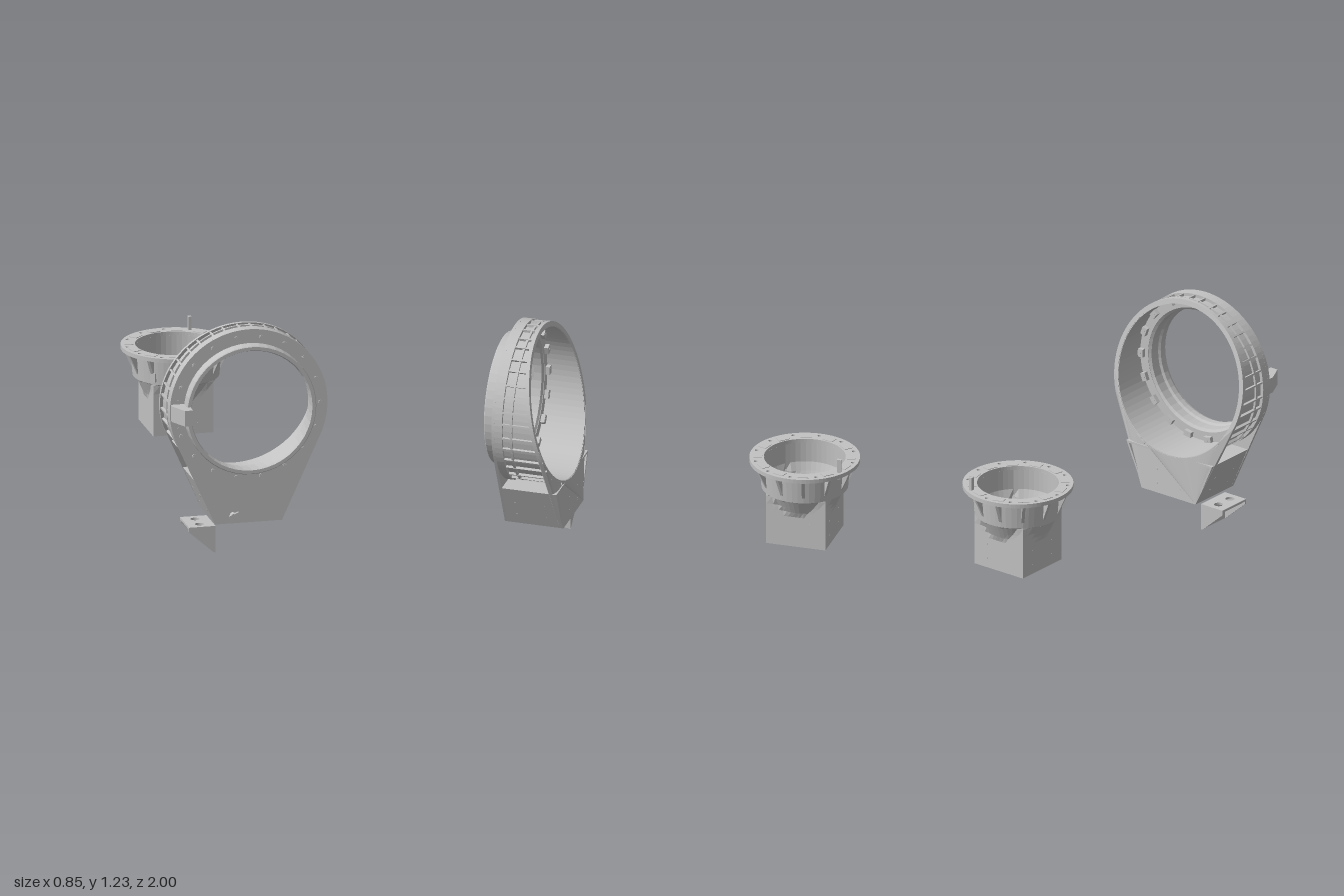
import * as THREE from 'three';

const grey = new THREE.MeshStandardMaterial({ color: 0xc2c2c2, flatShading: true, side: THREE.DoubleSide });
grey.name = 'grey plastic';

const CY = 0.8; // ring centre height
const RAD = Math.PI / 180;
const backZ = (y) => 0.555 + Math.max(0, y - 0.4) * 0.213; // slanted rear of the ring

export function createModel() {
  const model = new THREE.Group();

  const add = (parent, name, geo, x = 0, y = 0, z = 0) => {
    const m = new THREE.Mesh(geo, grey);
    m.name = name;
    m.position.set(x, y, z);
    parent.add(m);
    return m;
  };
  const group = (name) => {
    const g = new THREE.Group();
    g.name = name;
    model.add(g);
    return g;
  };
  const extrude = (shape, depth) =>
    new THREE.ExtrudeGeometry(shape, { depth, bevelEnabled: false, curveSegments: 40 });
  const poly = (pts) => new THREE.Shape(pts.map((p) => new THREE.Vector2(p[0], p[1])));
  const circle = (x, y, r) => new THREE.Path().absarc(x, y, r, 0, Math.PI * 2, true);
  const annulus = (ro, ri, y = CY) => {
    const s = new THREE.Shape().absarc(0, y, ro, 0, Math.PI * 2, false);
    s.holes.push(circle(0, y, ri));
    return s;
  };
  // Rewrites the z of every vertex by a rule of height and old z
  const moveZ = (geo, rule) => {
    const p = geo.attributes.position;
    for (let i = 0; i < p.count; i++) p.setZ(i, rule(p.getY(i), p.getZ(i)));
    geo.computeVertexNormals();
    return geo;
  };
  // Small screw flush with a wall, facing along a direction
  const screw = (parent, pos, dir, r = 0.006) => {
    const d = new THREE.Vector3(...dir).normalize();
    const m = add(parent, 'smallScrew', new THREE.CylinderGeometry(r, r, 0.002, 10), ...pos);
    m.quaternion.setFromUnitVectors(new THREE.Vector3(0, 1, 0), d);
  };

  // ---- Ring housing ----
  const ring = group('ringHousing');
  const tear = (holeR) => {
    const a = -24.55 * RAD;
    const s = new THREE.Shape();
    s.absarc(0, CY, 0.425, a, Math.PI - a, false);
    s.lineTo(-0.18, 0.17);
    s.lineTo(0.18, 0.17);
    s.closePath();
    s.holes.push(circle(0, CY, holeR));
    return s;
  };
  add(ring, 'frontPlate', extrude(tear(0.345), 0.015), 0, 0, 0.86);
  add(ring, 'frontFlange', extrude(annulus(0.425, 0.345), 0.045), 0, 0, 0.818);
  add(ring, 'rearPlate', moveZ(extrude(tear(0.4), 0.02), (y, z) => backZ(y) + z));
  add(ring, 'ringWall', moveZ(extrude(annulus(0.408, 0.397), 1),
    (y, z) => THREE.MathUtils.lerp(backZ(y) + 0.002, 0.84, z)));
  add(ring, 'middleFin', extrude(annulus(0.42, 0.4), 0.012), 0, 0, 0.765);

  // Stepped front collar
  const collarProfile = [[0.35, 0.86], [0.35, 0.935], [0.346, 0.94], [0.328, 0.94], [0.322, 0.925],
    [0.322, 0.895], [0.332, 0.885], [0.332, 0.83], [0.346, 0.82]].map((p) => new THREE.Vector2(...p));
  add(ring, 'frontCollar', new THREE.LatheGeometry(collarProfile, 48), 0, CY, 0).rotation.x = Math.PI / 2;

  // Bolts, inner tabs and outer ribs around the ring
  for (let i = 0; i < 18; i++) {
    const a = i * 20 * RAD;
    const x = Math.cos(a), y = Math.sin(a);
    const bx = 0.385 * x, by = CY + 0.385 * y;
    add(ring, 'hexNut', new THREE.CylinderGeometry(0.012, 0.012, 0.008, 6), bx, by, 0.877).rotation.x = Math.PI / 2;
    screw(ring, [bx, by, 0.881], [0, 0, 1]);
    add(ring, 'innerTab', new THREE.BoxGeometry(0.035, 0.045, 0.025), 0.383 * x, CY + 0.383 * y, 0.808).rotation.z = a;
    screw(ring, [bx - 0.003 * x, by - 0.003 * y, 0.795], [0, 0, -1], 0.007);
    for (const off of [-5.5, 5.5]) {
      const b = a + off * RAD;
      if (Math.sin(b) < -0.92) continue;
      const z0 = backZ(CY + 0.414 * Math.sin(b)) + 0.005;
      add(ring, 'outerRib', new THREE.BoxGeometry(0.02, 0.01, 0.83 - z0),
        0.412 * Math.cos(b), CY + 0.412 * Math.sin(b), (0.83 + z0) / 2).rotation.z = b;
    }
  }

  // Hollow socket under the ring: sloping sides with a shelf reaching in to the ring wall
  for (const s of [1, -1]) {
    const wall = poly([[0.18, 0.17], [0.287, 0.41], [0.1, 0.41], [0.1, 0.398], [0.27, 0.398], [0.168, 0.17]]
      .map(([x, y]) => [s * x, y]));
    add(ring, 'socketSide', extrude(wall, 0.3), 0, 0, 0.562);
    for (const y of [0.23, 0.31]) for (const z of [0.645, 0.8]) {
      screw(ring, [s * (0.18 + (y - 0.17) * 0.446), y, z], [s * 0.913, -0.407, 0]);
    }
  }
  for (const [x, y] of [[-0.078, 0.305], [0.075, 0.305], [0.075, 0.225], [-0.078, 0.225]]) {
    screw(ring, [x, y, 0.875], [0, 0, 1]);
    screw(ring, [x, y, 0.555], [0, 0, -1]);
  }

  // Wing screw on the socket front
  add(ring, 'wingScrew', new THREE.CylinderGeometry(0.014, 0.018, 0.025, 8), -0.085, 0.215, 0.887)
    .rotation.x = Math.PI / 2;
  add(ring, 'screwWing', new THREE.BoxGeometry(0.055, 0.014, 0.012), -0.083, 0.22, 0.895).rotation.z = 0.4;

  // Wedge shaped clip on the collar
  const clip = extrude(poly([[-0.42, -0.87], [-0.42, -0.905], [-0.375, -1], [-0.33, -1], [-0.33, -0.87]]), 0.085);
  clip.rotateX(-Math.PI / 2);
  add(ring, 'sideClip', clip, 0, 0.757, 0);
  for (const y of [0.71, 0.74, 0.86, 0.9]) screw(ring, [-0.378, y, 0.875], [0, 0, 1], 0.005);

  // ---- Round to square funnel ----
  const funnel = group('funnel');
  funnel.position.z = -0.71;
  const N = 48;
  // Rows of [height, round radius, half side]; each section is the wider of circle and square
  const rows = [[0.23, 0, 0.162], [0.4, 0.159, 0.162], [0.43, 0.174, 0.162], [0.46, 0.188, 0.162],
    [0.505, 0.209, 0.162], [0.515, 0.228, 0.162], [0.66, 0.24, 0.16], [0.66, 0.214, 0.153],
    [0.55, 0.214, 0.153], [0.505, 0.197, 0.153], [0.45, 0.172, 0.153], [0.4, 0.148, 0.153],
    [0.23, 0, 0.153], [0.23, 0, 0.162]];
  const pos = [], idx = [];
  rows.forEach(([y, r, h], j) => {
    for (let i = 0; i <= N; i++) {
      const a = (i / N) * Math.PI * 2;
      const c = Math.cos(a), s = Math.sin(a);
      const q = Math.max(r, h / Math.max(Math.abs(c), Math.abs(s)));
      pos.push(q * s, y, q * c);
      if (j && i < N) {
        const k = j * (N + 1) + i, l = k - N - 1;
        idx.push(l, l + 1, k + 1, l, k + 1, k);
      }
    }
  });
  const body = new THREE.BufferGeometry();
  body.setAttribute('position', new THREE.Float32BufferAttribute(pos, 3));
  body.setIndex(idx);
  body.computeVertexNormals();
  add(funnel, 'funnelBody', body);

  // Top flange with screw holes, raised pads and tapering ribs
  const rim = annulus(0.29, 0.214, 0);
  for (let i = 0; i < 12; i++) {
    const a = i * 30 * RAD;
    rim.holes.push(circle(0.263 * Math.cos(a), 0.263 * Math.sin(a), 0.01));
  }
  const rimGeo = extrude(rim, 0.022);
  rimGeo.rotateX(-Math.PI / 2);
  add(funnel, 'topFlange', rimGeo, 0, 0.658, 0);
  for (let i = 0; i < 12; i++) {
    const a = (i * 30 + 15) * RAD;
    const rib = extrude(poly([[0.205, 0.497], [0.212, 0.505], [0.282, 0.66], [0.222, 0.66], [0.218, 0.52]]), 0.016);
    rib.translate(0, 0, -0.008);
    add(funnel, 'funnelRib', rib).rotation.y = a;
    add(funnel, 'rimPad', new THREE.BoxGeometry(0.045, 0.006, 0.06),
      0.245 * Math.cos(a), 0.68, -0.245 * Math.sin(a)).rotation.y = a;
  }
  for (let i = 0; i < 4; i++) {
    const a = i * 90 * RAD;
    const c = Math.cos(a), s = Math.sin(a);
    for (const t of [-0.078, 0.078]) for (const y of [0.285, 0.365]) {
      screw(funnel, [0.162 * c - t * s, y, 0.162 * s + t * c], [c, 0, s]);
    }
  }
  add(funnel, 'uprightPin', new THREE.BoxGeometry(0.016, 0.09, 0.022), 0.13, 0.707, -0.228);
  add(funnel, 'pinHead', new THREE.CylinderGeometry(0.015, 0.015, 0.02, 8), 0.13, 0.652, -0.228);
  add(funnel, 'sideLatch', new THREE.BoxGeometry(0.03, 0.05, 0.02), -0.163, 0.555, 0.168).rotation.y = -0.77;

  // ---- Corner bracket ----
  const bracket = group('cornerBracket');
  add(bracket, 'bracketPlate', new THREE.BoxGeometry(0.01, 0.14, 0.2), -0.17, 0.075, 0.722);
  const top = poly([[-0.308, -0.822], [-0.165, -0.822], [-0.165, -0.622], [-0.308, -0.622]]);
  for (const z of [-0.77, -0.675]) top.holes.push(circle(-0.24, z, 0.024));
  const topGeo = extrude(top, 0.012);
  topGeo.rotateX(-Math.PI / 2);
  add(bracket, 'bracketTop', topGeo, 0, 0.134, 0);
  const side = poly([[-0.308, 0.146], [-0.308, 0.12], [-0.178, 0.005], [-0.165, 0], [-0.165, 0.146]]);
  for (const z of [0.622, 0.812]) add(bracket, 'bracketGusset', extrude(side, 0.01), 0, 0, z);
  for (const y of [0.04, 0.1]) for (const z of [0.645, 0.8]) {
    screw(bracket, [-0.165, y, z], [1, 0, 0], 0.007);
  }

  return model;
}
